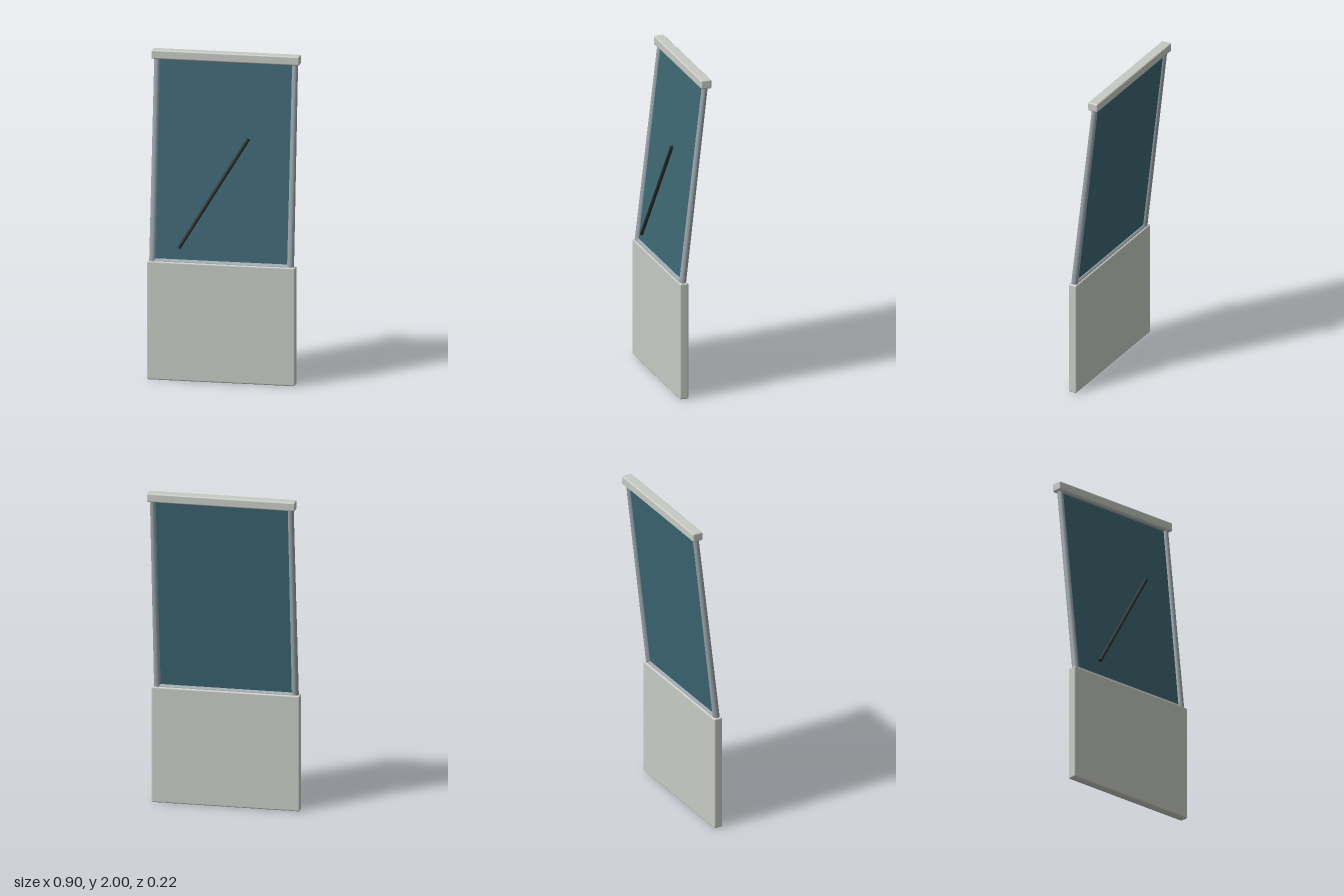
import * as THREE from 'three';
import { RoundedBoxGeometry } from 'three/addons/geometries/RoundedBoxGeometry.js';

const mat = (color) => new THREE.MeshStandardMaterial({ color });

export function createModel() {
  const model = new THREE.Group();
  const shell = mat(0xc8cac4), metal = mat(0x9aa4ac), glass = mat(0x3c6672), rubber = mat(0x2b2f31);

  const add = (name, geometry, material) => {
    const mesh = new THREE.Mesh(geometry, material);
    mesh.name = name;
    model.add(mesh);
    return mesh;
  };

  // Round rod between two points, optionally tapered
  const rod = (name, a, b, r0, r1, material) => {
    const from = new THREE.Vector3(...a), to = new THREE.Vector3(...b);
    const dir = to.clone().sub(from);
    const mesh = add(name, new THREE.CylinderGeometry(r1, r0, dir.length(), 20), material);
    mesh.position.copy(from).add(to).multiplyScalar(0.5);
    mesh.quaternion.setFromUnitVectors(new THREE.Vector3(0, 1, 0), dir.normalize());
  };

  // Rounded lower panel and top header
  add('lowerPanel', new RoundedBoxGeometry(0.905, 0.73, 0.055, 3, 0.009), shell)
    .position.set(0, 0.365, 0.0625);
  add('header', new RoundedBoxGeometry(0.905, 0.055, 0.066, 3, 0.009), shell)
    .position.set(0, 1.9725, -0.077);

  // Leaning window frame: two posts, sill and top rail
  const bottom = [0.725, 0.064], top = [1.955, -0.077], postX = 0.421;
  for (const [side, s] of [['left', 1], ['right', -1]]) {
    rod(side + 'Post', [s * postX, ...bottom], [s * postX, ...top], 0.021, 0.018, metal);
  }
  rod('sill', [-postX, ...bottom], [postX, ...bottom], 0.02, 0.02, metal);
  rod('topRail', [-postX, ...top], [postX, ...top], 0.018, 0.018, metal);

  // Thin leaning pane on the plane of the frame
  const dy = top[0] - bottom[0], dz = top[1] - bottom[1];
  const pane = add('windowPane', new THREE.BoxGeometry(0.83, Math.hypot(dy, dz), 0.008), glass);
  pane.position.set(0, (top[0] + bottom[0]) / 2, (top[1] + bottom[1]) / 2);
  pane.rotation.x = Math.atan2(dz, dy);

  // Diagonal wiper standing just off the pane
  rod('wiper', [-0.254, 0.823, 0.098], [0.16, 1.502, 0.044], 0.011, 0.011, rubber);

  return model;
}
